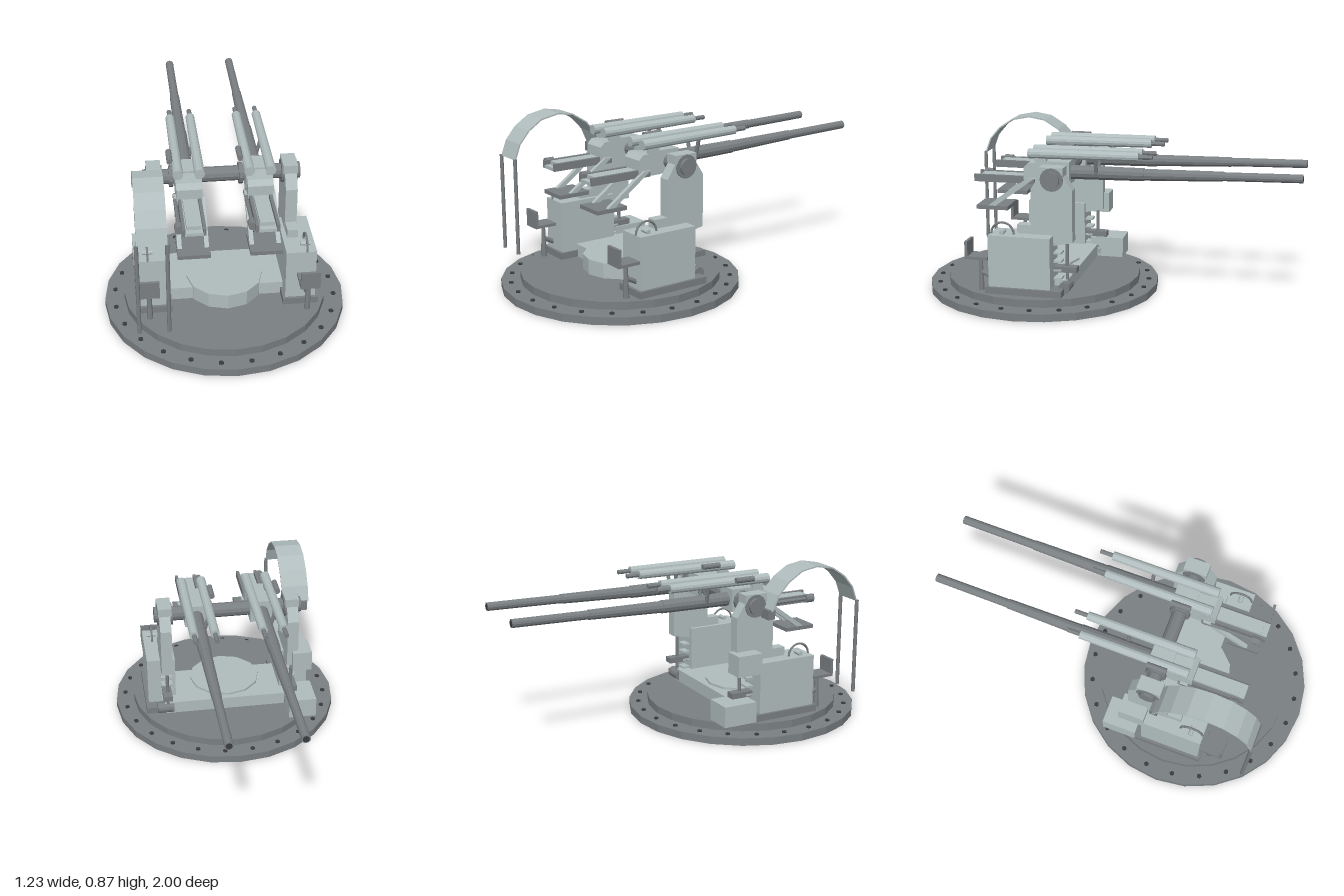
import * as THREE from 'three';

const paint = (color, side = THREE.FrontSide) =>
  new THREE.MeshStandardMaterial({ color, flatShading: true, side });
const light = paint(0xb0bcbd);
const lightDouble = paint(0xb0bcbd, THREE.DoubleSide);
const dark = paint(0x7a7f82);
const black = paint(0x3a3c3e);

function add(parent, name, geometry, material) {
  const m = new THREE.Mesh(geometry, material);
  m.name = name;
  parent.add(m);
  return m;
}

// Box given by its min and max on each axis
function box(parent, name, material, x0, x1, y0, y1, z0, z1) {
  const m = add(parent, name, new THREE.BoxGeometry(x1 - x0, y1 - y0, z1 - z0), material);
  m.position.set((x0 + x1) / 2, (y0 + y1) / 2, (z0 + z1) / 2);
  return m;
}

// Cylinder or cone running from point a to point b
function rod(parent, name, material, a, b, ra, rb = ra, sides = 12) {
  const p = new THREE.Vector3(...a), q = new THREE.Vector3(...b);
  const d = q.clone().sub(p);
  const m = add(parent, name, new THREE.CylinderGeometry(rb, ra, d.length(), sides), material);
  m.position.copy(p).add(q).multiplyScalar(0.5);
  m.quaternion.setFromUnitVectors(new THREE.Vector3(0, 1, 0), d.normalize());
  return m;
}

// Side profile of [z, y] points, extruded from x0 to x1
function profile(parent, name, material, points, x0, x1) {
  const shape = new THREE.Shape(points.map(([z, y]) => new THREE.Vector2(-z, y)));
  const g = new THREE.ExtrudeGeometry(shape, { depth: x1 - x0, bevelEnabled: false });
  g.rotateY(Math.PI / 2);
  g.translate(x0, 0, 0);
  return add(parent, name, g, material);
}

function makeBase() {
  const g = new THREE.Group();
  g.name = 'base';
  const cz = 0.381;
  rod(g, 'flange', dark, [0, 0, cz], [0, 0.04, cz], 0.617, 0.617, 24);
  rod(g, 'turntable', dark, [0, 0.04, cz], [0, 0.08, cz], 0.517, 0.517, 24);
  rod(g, 'centreDisc', light, [0, 0.08, cz], [0, 0.16, cz], 0.194, 0.194, 12);
  box(g, 'crossPlate', light, -0.36, 0.36, 0.08, 0.148, 0.16, 0.47);
  for (let i = 0; i < 24; i++) {
    const a = ((i + 0.5) / 24) * Math.PI * 2;
    const x = Math.sin(a) * 0.567, z = cz + Math.cos(a) * 0.567;
    rod(g, 'bolt', black, [x, 0.04, z], [x, 0.047, z], 0.013, 0.013, 6);
  }
  return g;
}

// Pedestal with upright, seat and handwheel; s = +1 or -1 picks the side
function makePedestal(s) {
  const g = new THREE.Group();
  g.name = s > 0 ? 'leftPedestal' : 'rightPedestal';
  const bx = (name, material, a, b, ...r) =>
    box(g, name, material, Math.min(s * a, s * b), Math.max(s * a, s * b), ...r);
  bx('footPlate', dark, 0.28, 0.46, 0.08, 0.115, 0.17, 0.57);
  bx('cabinet', light, 0.292, 0.445, 0.115, 0.385, 0.23, 0.555);

  // trunnion upright
  const pts = [[0.23, 0.2], [0.23, 0.33], [0.13, 0.35], [0.13, 0.62], [0.175, 0.69],
    [0.175, 0.735], [0.3, 0.735], [0.3, 0.69], [0.345, 0.62], [0.345, 0.2]];
  const x0 = s > 0 ? 0.313 : -0.373;
  profile(g, 'upright', light, pts, x0, x0 + 0.06);
  bx('bearingBlock', light, 0.305, 0.378, 0.69, 0.735, 0.175, 0.3);
  rod(g, 'trunnionCap', dark, [s * 0.3, 0.673, 0.235], [s * 0.38, 0.673, 0.235], 0.06, 0.06, 16);
  rod(g, 'trunnionPin', dark, [s * 0.38, 0.673, 0.235], [s * 0.396, 0.673, 0.235], 0.042, 0.042, 16);
  for (let i = 0; i < 4; i++) {
    bx('rib', light, 0.313, 0.373, 0.15 + i * 0.045, 0.16 + i * 0.045, 0.19, 0.23);
  }

  // gearing and handwheel
  bx('gearBox', light, 0.315, 0.37, 0.385, 0.43, 0.34, 0.42);
  rod(g, 'motor', dark, [s * 0.31, 0.115, 0.17], [s * 0.4, 0.115, 0.17], 0.03);
  rod(g, 'driveShaft', dark, [s * 0.343, 0.115, 0.165], [s * 0.343, 0.36, 0.165], 0.009, 0.009, 8);
  bx('shaftBracket', dark, 0.32, 0.37, 0.19, 0.22, 0.11, 0.24);
  const wheel = add(g, 'handwheel', new THREE.TorusGeometry(0.06, 0.006, 6, 20), dark);
  wheel.rotation.y = Math.PI / 2;
  wheel.position.set(s * 0.397, 0.385, 0.49);
  rod(g, 'wheelAxle', light, [s * 0.37, 0.395, 0.49], [s * 0.42, 0.395, 0.49], 0.012, 0.012, 8);

  // operator seat
  bx('seatBack', dark, 0.347, 0.445, 0.252, 0.345, 0.665, 0.68);
  bx('seatPan', dark, 0.347, 0.445, 0.252, 0.267, 0.56, 0.68);
  rod(g, 'seatPost', dark, [s * 0.397, 0.08, 0.61], [s * 0.397, 0.255, 0.61], 0.016, 0.01, 8);
  rod(g, 'seatBrace', dark, [s * 0.397, 0.18, 0.61], [s * 0.397, 0.15, 0.55], 0.012, 0.012, 8);
  return g;
}

// One gun, centred on x = 0
function makeGun() {
  const g = new THREE.Group();
  g.name = 'gun';

  // barrel in three tapering steps
  rod(g, 'barrelSleeve', dark, [0, 0.671, 0.35], [0, 0.677, -0.2], 0.038, 0.034);
  rod(g, 'barrel', dark, [0, 0.677, -0.2], [0, 0.687, -0.6], 0.031, 0.026);
  rod(g, 'muzzle', dark, [0, 0.687, -0.6], [0, 0.695, -0.998], 0.023, 0.022);
  rod(g, 'bore', black, [0, 0.695, -0.99], [0, 0.695, -1], 0.016);

  // cradle and breech
  box(g, 'cradle', light, -0.06, 0.06, 0.615, 0.735, 0.18, 0.3);
  profile(g, 'breech', light, [[0.29, 0.615], [0.29, 0.725], [0.395, 0.725], [0.42, 0.7], [0.42, 0.615]], -0.064, 0.064);
  box(g, 'loadingTray', light, -0.045, 0.045, 0.612, 0.628, 0.4, 0.69);
  box(g, 'trayBed', light, -0.035, 0.035, 0.628, 0.648, 0.42, 0.66);
  for (const s of [-1, 1]) {
    box(g, 'trayRail', dark, s * 0.05 - 0.008, s * 0.05 + 0.008, 0.612, 0.65, 0.4, 0.69);

    // recoil cylinders above the barrel
    const x = s * 0.053;
    rod(g, 'recoilCylinder', light, [x, 0.772, 0.395], [x, 0.778, -0.18], 0.026, 0.023);
    rod(g, 'recoilRod', dark, [x, 0.778, -0.18], [x, 0.778, -0.25], 0.012, 0.012, 8);
    box(g, 'cylinderPost', light, x - 0.014, x + 0.014, 0.66, 0.765, 0.3, 0.36);
    rod(g, 'cylinderStay', dark, [s * 0.028, 0.675, 0.045], [x, 0.77, 0.045], 0.01, 0.01, 8);

    // arms holding the catch tray
    const ax = s * 0.066;
    profile(g, 'trayArm', light, [[0.58, 0.484], [0.36, 0.645], [0.4, 0.645], [0.62, 0.484]], ax - 0.011, ax + 0.011);
  }
  box(g, 'catchTray', dark, -0.08, 0.08, 0.47, 0.49, 0.505, 0.675);
  box(g, 'armBar', dark, -0.075, 0.075, 0.615, 0.64, 0.36, 0.4);

  // firing rod and sight on the right-hand side
  rod(g, 'firingRod', dark, [-0.07, 0.635, 0.35], [-0.07, 0.635, 0.63], 0.01, 0.01, 8);
  rod(g, 'firingGrip', dark, [-0.07, 0.635, 0.625], [-0.07, 0.635, 0.67], 0.022);
  rod(g, 'sight', dark, [-0.086, 0.787, 0.29], [-0.086, 0.787, 0.185], 0.015);
  return g;
}

function makeCanopy() {
  const g = new THREE.Group();
  g.name = 'canopy';
  // curved strip with a thin section
  const outer = [[0.81, 0.65], [0.78, 0.73], [0.725, 0.795], [0.65, 0.845], [0.55, 0.865],
    [0.46, 0.85], [0.38, 0.8], [0.32, 0.735], [0.285, 0.655]];
  const inner = outer.map(([z, y]) => [0.55 + (z - 0.55) * 0.97, 0.65 + (y - 0.65) * 0.965]);
  profile(g, 'canopyStrip', lightDouble, [...outer, ...inner.reverse()], -0.455, -0.31);
  for (const x of [-0.456, -0.312]) {
    rod(g, 'canopyPost', dark, [x, 0.15, 0.808], [x, 0.655, 0.808], 0.01, 0.01, 8);
  }
  box(g, 'canopyBracket', dark, -0.445, -0.365, 0.61, 0.66, 0.27, 0.31);
  return g;
}

export function createModel() {
  const model = new THREE.Group();
  model.name = 'twinGunMount';
  model.add(makeBase(), makePedestal(1), makePedestal(-1), makeCanopy());
  rod(model, 'trunnionShaft', dark, [-0.34, 0.673, 0.235], [0.34, 0.673, 0.235], 0.038);
  for (const x of [-0.176, 0.175]) {
    const gun = makeGun();
    gun.position.x = x;
    model.add(gun);
    rod(model, 'shaftCollar', dark, [x - 0.09, 0.673, 0.235], [x - 0.07, 0.673, 0.235], 0.055);
  }
  // equipment boxes behind the right pedestal
  box(model, 'lowerLocker', light, -0.46, -0.31, 0.08, 0.19, 0.015, 0.2);
  box(model, 'upperLocker', light, -0.445, -0.34, 0.33, 0.44, 0.1, 0.24);
  return model;
}
